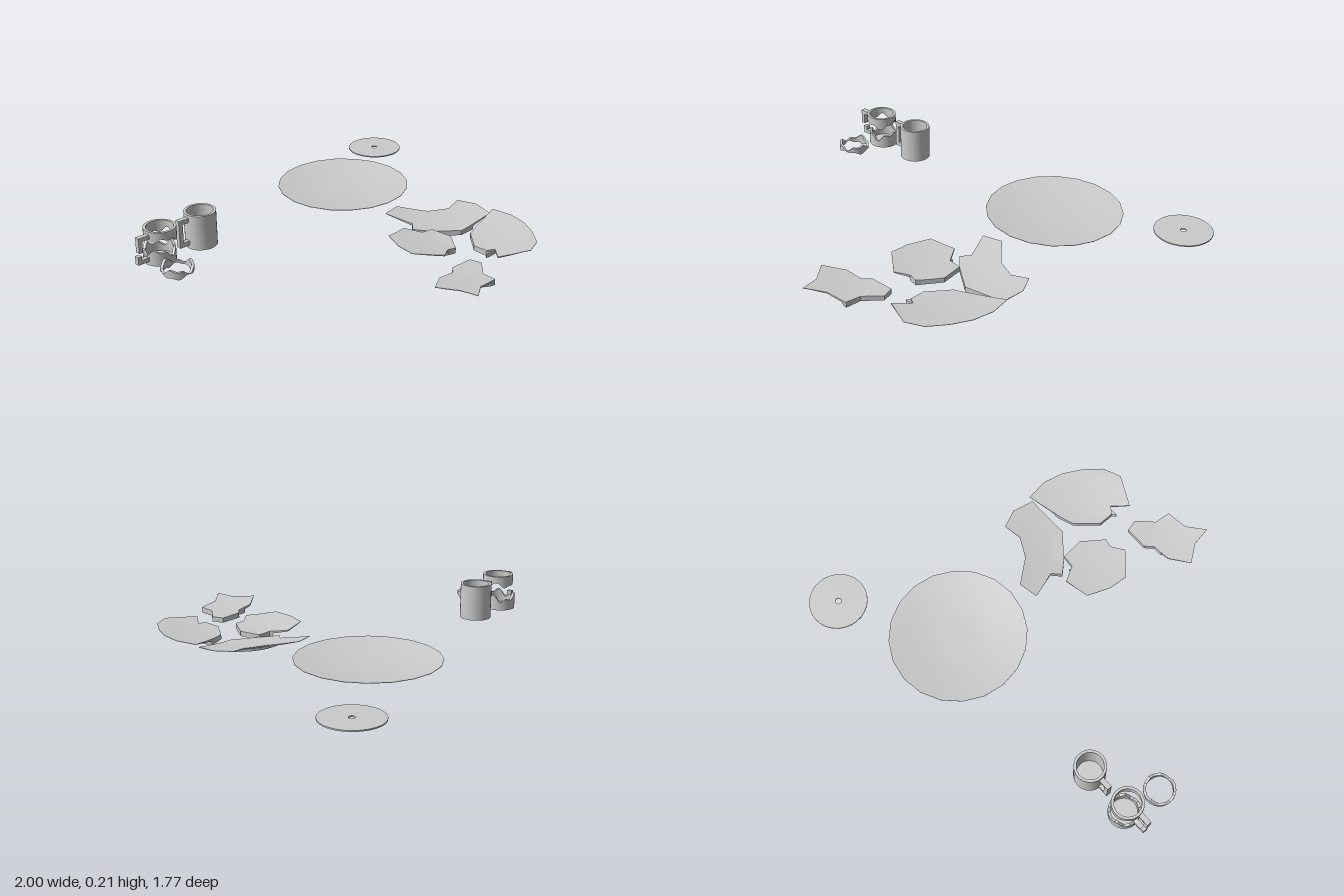
import * as THREE from 'three';
import { toCreasedNormals } from 'three/addons/utils/BufferGeometryUtils.js';

const material = new THREE.MeshStandardMaterial({ color: 0xcccccc, side: THREE.DoubleSide });

function add(parent, name, geometry, x = 0, y = 0, z = 0) {
  const mesh = new THREE.Mesh(toCreasedNormals(geometry, 0.6), material);
  mesh.name = name;
  mesh.position.set(x, y, z);
  parent.add(mesh);
  return mesh;
}

const lathe = (points, sides) =>
  new THREE.LatheGeometry(points.map(([r, y]) => new THREE.Vector2(r, y)), sides);

// Joins a closed loop of slices, each an array of [x, y, z]
function loft(slices, closeSlice) {
  const m = slices[0].length, pos = slices.flat(2), index = [];
  slices.forEach((_, i) => {
    const k = (i + 1) % slices.length;
    for (let j = 0; j < (closeSlice ? m : m - 1); j++) {
      const n = (j + 1) % m;
      index.push(i * m + j, i * m + n, k * m + n, i * m + j, k * m + n, k * m + j);
    }
  });
  const g = new THREE.BufferGeometry();
  g.setAttribute('position', new THREE.Float32BufferAttribute(pos, 3));
  g.setIndex(index);
  g.computeVertexNormals();
  return g;
}

// Plate section: height of the upper and lower face at a radius
const RIM = 0.34, FOOT = 0.185;
const upper = r => 0.04 + 0.025 * Math.pow(Math.max(0, (r - 0.1) / (RIM - 0.1)), 1.4);
const lower = r => 0.034 + 0.029 * Math.max(0, (r - FOOT) / (RIM - FOOT));

function plateGeometry() {
  const points = [[0, 0.015], [FOOT, 0.015], [FOOT, 0.034], [RIM, 0.063]];
  for (let i = 6; i >= 0; i--) points.push([RIM * i / 6, upper(RIM * i / 6)]);
  return lathe(points, 20);
}

// A piece of plate: outline in x/z, middle of the piece, centre of its plate, tilt along z
function addShard(parent, { outline, middle, centre, tilt = 0 }) {
  const shard = new THREE.Group();
  shard.name = 'plateShard';
  const edge = [];
  outline.forEach(([x, z], i) => {
    const [x2, z2] = outline[(i + 1) % outline.length];
    for (let s = 0; s < 5; s++) edge.push([x + (x2 - x) * s / 5, z + (z2 - z) * s / 5]);
  });
  const slices = edge.map(([ex, ez]) => {
    const slice = [];
    for (let j = 0; j <= 13; j++) {
      const t = (j < 7 ? j : 13 - j) / 6;
      const x = middle[0] + (ex - middle[0]) * t, z = middle[1] + (ez - middle[1]) * t;
      const r = Math.min(RIM, Math.hypot(x - centre[0], z - centre[1]));
      slice.push([x, (j < 7 ? lower : upper)(r), z]);
    }
    return slice;
  });
  // Foot under the piece, held inside the foot circle
  const footOutline = edge.map(([x, z]) => {
    const dx = x - centre[0], dz = z - centre[1];
    const k = Math.min(1, FOOT / Math.max(1e-6, Math.hypot(dx, dz)));
    return new THREE.Vector2(centre[0] + dx * k, centre[1] + dz * k);
  });
  const foot = new THREE.ExtrudeGeometry(new THREE.Shape(footOutline), { depth: 0.021, bevelEnabled: false });
  foot.rotateX(Math.PI / 2).translate(0, 0.036, 0);
  const body = loft(slices, false);
  for (const g of [body, foot]) {
    const p = g.attributes.position;
    for (let i = 0; i < p.count; i++) p.setY(i, p.getY(i) - tilt * p.getZ(i));
    g.computeVertexNormals();
  }
  add(shard, 'shardBody', body);
  add(shard, 'shardFoot', foot);
  parent.add(shard);
}

const SHARDS = [
  { middle: [0.42, 0.22], centre: [0.31, 0.32], tilt: 0.04, outline: [[0.21, 0], [0.31, -0.02], [0.41, 0.10],
    [0.51, 0.15], [0.60, 0.13], [0.64, 0.22], [0.62, 0.33], [0.48, 0.335], [0.40, 0.34], [0.28, 0.245],
    [0.22, 0.18], [0.26, 0.14]] },
  { middle: [0.45, 0.55], centre: [0.31, 0.42], outline: [[0.64, 0.33], [0.655, 0.44], [0.63, 0.545],
    [0.58, 0.635], [0.51, 0.72], [0.42, 0.757], [0.27, 0.683], [0.335, 0.61], [0.30, 0.59], [0.30, 0.51],
    [0.39, 0.405], [0.46, 0.38]] },
  { middle: [0.16, 0.33], centre: [0.33, 0.37], outline: [[0.045, 0.19], [0.175, 0.165], [0.22, 0.245],
    [0.285, 0.25], [0.295, 0.365], [0.215, 0.47], [0.17, 0.46], [0.105, 0.50], [-0.01, 0.40], [0, 0.30]] },
  { middle: [0.03, 0.70], centre: [0.16, 0.63], outline: [[-0.17, 0.695], [-0.07, 0.63], [0.025, 0.625],
    [0.06, 0.59], [0.18, 0.59], [0.195, 0.65], [0.12, 0.725], [0.11, 0.805], [0, 0.815], [-0.09, 0.88],
    [-0.105, 0.785]] },
];

// Mug sizes
const OUT = 0.077, IN = 0.064, BASE = 0.04, TOP = 0.215;
const jag = (a, s) => 0.6 * Math.sin(3 * a + s) + 0.4 * Math.sin(7 * a + 2.3 * s);

// Broken ring of mug wall between two height functions
function wallGeometry(bottom, top) {
  const slices = [];
  for (let i = 0; i < 32; i++) {
    const a = i / 32 * Math.PI * 2, c = Math.cos(a), s = Math.sin(a), b = bottom(a), t = top(a);
    slices.push([[OUT, b], [OUT, t], [IN, t], [IN, b]].map(([r, y]) => [r * c, y, r * s]));
  }
  return loft(slices, true);
}

// One square bar of a handle from corner to corner, in mug space
function addBar(parent, name, x1, x2, y1, y2, z = 0.01) {
  add(parent, name, new THREE.BoxGeometry(x2 - x1, y2 - y1, 0.025), (x1 + x2) / 2, (y1 + y2) / 2, z);
}

function group(parent, name, x, z) {
  const g = new THREE.Group();
  g.name = name;
  g.position.set(x, 0, z);
  parent.add(g);
  return g;
}

export function createModel() {
  const model = new THREE.Group();
  model.name = 'crockery';

  // Whole plate and its broken twin
  add(model, 'plate', plateGeometry(), 0.31, 0, -0.42);
  SHARDS.forEach(s => addShard(model, s));

  // Thin disc with a centre hole
  add(model, 'disc', lathe([[0.015, 0.019], [0.145, 0.019], [0.145, 0.025], [0.015, 0.025], [0.015, 0.019]], 28),
    0.855, 0, -0.745);

  // Whole mug
  const mug = group(model, 'mug', -0.628, -0.4);
  add(mug, 'mugBody', lathe([[0, BASE], [OUT, BASE], [OUT, TOP], [IN, TOP], [IN, 0.052], [0, 0.052]], 32));
  addBar(mug, 'handleTop', -0.132, -0.068, 0.178, 0.2, 0);
  addBar(mug, 'handleBottom', -0.132, -0.068, 0.06, 0.082, 0);
  addBar(mug, 'handleGrip', -0.132, -0.11, 0.082, 0.178, 0);

  // Broken mug: lower cup with a handle stub
  const cup = group(model, 'brokenMugBase', -0.867, -0.4);
  add(cup, 'cupWall', wallGeometry(() => BASE, a => 0.1 + 0.025 * jag(a, 1)));
  add(cup, 'cupFloor', lathe([[0, BASE], [IN + 0.003, BASE], [IN + 0.003, 0.052], [0, 0.052]], 32));
  addBar(cup, 'handleBottom', -0.133, -0.068, 0.06, 0.08);
  addBar(cup, 'handleStub', -0.133, -0.112, 0.08, 0.1);

  // Broken mug: upper ring with the rest of the handle
  const ring = group(model, 'brokenMugRim', -0.867, -0.386);
  add(ring, 'rimWall', wallGeometry(a => 0.168 + 0.018 * jag(a, 2.2), () => TOP));
  addBar(ring, 'handleTop', -0.133, -0.068, 0.18, 0.2);
  addBar(ring, 'handleGrip', -0.133, -0.112, 0.125, 0.18);

  // Broken mug: middle band lying beside it
  add(model, 'brokenMugBand', wallGeometry(a => 0.064 + 0.012 * jag(a, 4), a => 0.088 + 0.017 * jag(a, 0.7)),
    -0.903, 0, -0.21);

  return model;
}
